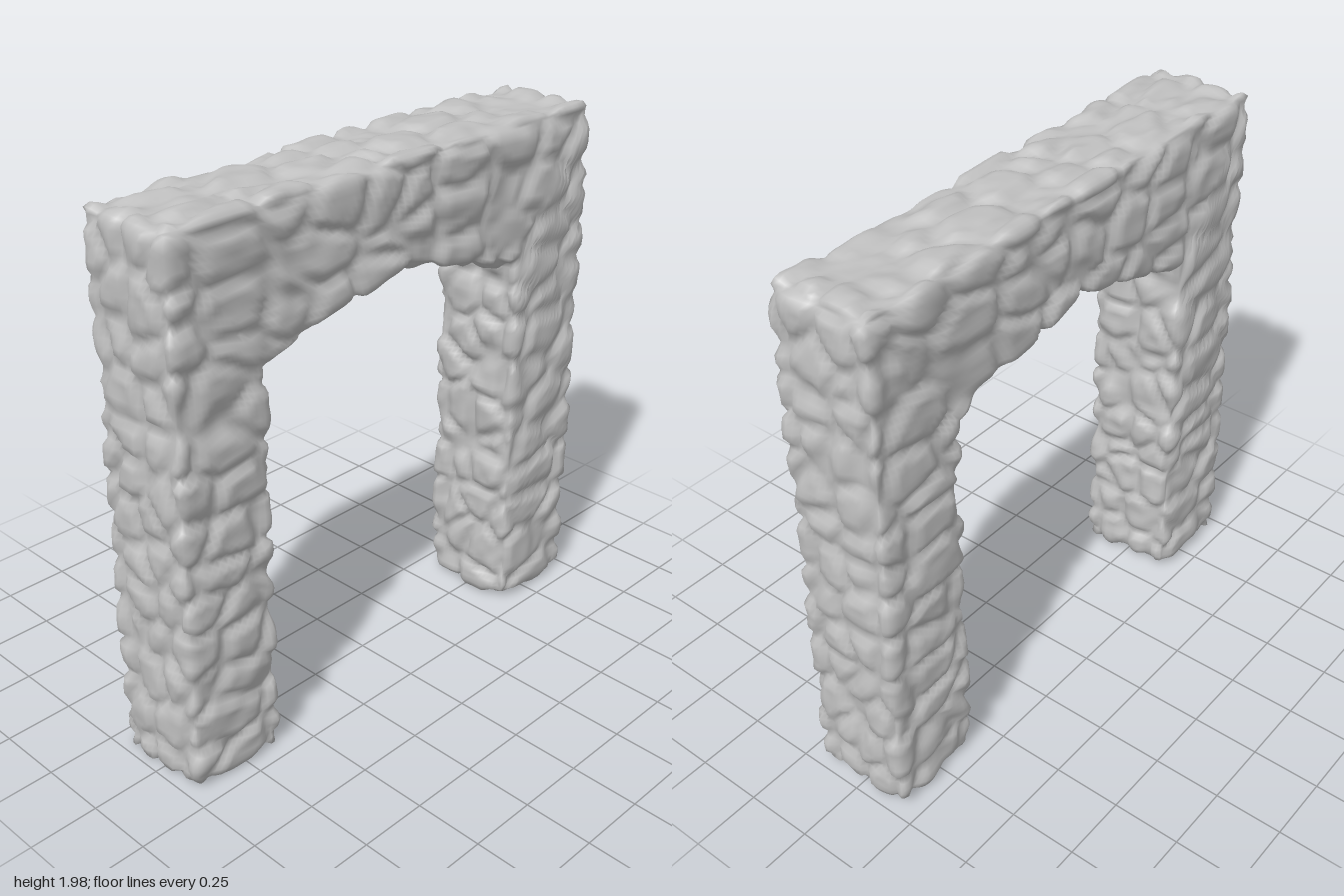
import * as THREE from 'three';

// Repeatable hash and smooth noise
const hash = (x, y, z) => {
  const s = Math.sin(x * 127.1 + y * 311.7 + z * 74.7) * 43758.5453;
  return s - Math.floor(s);
};
const fade = (t) => t * t * (3 - 2 * t);

function noise(x, y, z) {
  const i = Math.floor(x), j = Math.floor(y), k = Math.floor(z);
  const u = fade(x - i), v = fade(y - j), w = fade(z - k);
  let sum = 0;
  for (let n = 0; n < 8; n++) {
    const a = n & 1, b = (n >> 1) & 1, c = n >> 2;
    sum += (a ? u : 1 - u) * (b ? v : 1 - v) * (c ? w : 1 - w) * hash(i + a, j + b, k + c);
  }
  return sum * 2 - 1;
}

// 0 in the joints between stones, 1 on the stones
function stones(x, y, z) {
  const i = Math.floor(x), j = Math.floor(y), k = Math.floor(z);
  let near = 9, second = 9;
  for (let a = i - 1; a <= i + 1; a++) for (let b = j - 1; b <= j + 1; b++) for (let c = k - 1; c <= k + 1; c++) {
    const d = Math.hypot(
      a + 0.15 + 0.7 * hash(a, b, c) - x,
      b + 0.15 + 0.7 * hash(b + 9, c, a) - y,
      c + 0.15 + 0.7 * hash(c, a + 5, b) - z);
    if (d < near) { second = near; near = d; } else if (d < second) second = d;
  }
  return fade(Math.min(1, (second - near) / 0.35));
}

// How far the rock surface swells out at a point
function relief(x, y, z) {
  const wx = x + 0.03 * noise(x * 7, y * 7, z * 7 + 20);
  const wy = y + 0.03 * noise(x * 7 + 40, y * 7, z * 7);
  return 0.024 * (stones(wx / 0.22, wy / 0.15, z / 0.14) - 0.6)
    + 0.008 * noise(x * 5, y * 9, z * 8)
    + 0.006 * noise(x * 15, y * 24, z * 24);
}

// Pairs of outer and inner outline points along the arch, with a size for the closed feet
function archStations() {
  const foot = [[0.97, 0.03], [0.6, 0.03]];
  const corner = [[0.97, 1.97], [0.6, 1.44]];
  const middle = [[0, 1.97], [0, 1.6]];
  const mirror = (pair) => pair.map(([x, y]) => [-x, y]);
  const keys = [foot, corner, middle, mirror(corner), mirror(foot)];
  const steps = [80, 42, 42, 80];
  const list = [];
  const mix = (p, q, t) => [p[0] + (q[0] - p[0]) * t, p[1] + (q[1] - p[1]) * t];
  const caps = [0, 0.15, 0.3, 0.45, 0.6, 0.75, 0.88].map((size) => ({ size }));
  for (const c of caps) list.push({ outer: foot[0], inner: foot[1], size: c.size });
  steps.forEach((count, s) => {
    for (let i = s ? 1 : 0; i <= count; i++) {
      const t = i / count;
      const end = (s === 0 && i === 0) || (s === 3 && i === count);
      list.push({
        outer: mix(keys[s][0], keys[s + 1][0], t),
        inner: mix(keys[s][1], keys[s + 1][1], t),
        size: end ? 0.96 : 1
      });
    }
  });
  for (const c of caps.reverse()) list.push({ outer: keys[4][0], inner: keys[4][1], size: c.size });
  return list;
}

// Rounded square section, running from outer side towards +z
function section(perSide, round) {
  const pts = [];
  for (let side = 0; side < 4; side++) for (let i = 0; i < perSide; i++) {
    const t = -1 + (2 * i) / perSide;
    const [u, v] = [[1, t], [-t, 1], [-1, -t], [t, -1]][side];
    const lim = 1 - round;
    const cu = THREE.MathUtils.clamp(u, -lim, lim), cv = THREE.MathUtils.clamp(v, -lim, lim);
    const len = Math.hypot(u - cu, v - cv);
    pts.push([cu + ((u - cu) / len) * round, cv + ((v - cv) / len) * round]);
  }
  return pts;
}

function archGeometry() {
  const ring = section(22, 0.18), stations = archStations(), n = ring.length;
  const pos = [], index = [];
  for (const { outer, inner, size } of stations) for (const [u, v] of ring) {
    const t = (u * size + 1) / 2;
    let x = inner[0] + (outer[0] - inner[0]) * t;
    let y = inner[1] + (outer[1] - inner[1]) * t;
    // soften the two top corners
    const r = 0.05, dx = Math.abs(x) - (0.97 - r), dy = y - (1.97 - r);
    if (dx > 0 && dy > 0 && Math.hypot(dx, dy) > r) {
      const k = r / Math.hypot(dx, dy);
      x = Math.sign(x) * (0.97 - r + dx * k);
      y = 1.97 - r + dy * k;
    }
    pos.push(x, y, v * size * 0.19);
  }
  for (let s = 0; s < stations.length - 1; s++) for (let j = 0; j < n; j++) {
    const a = s * n + j, b = s * n + ((j + 1) % n), c = a + n, d = b + n;
    index.push(a, c, b, b, c, d);
  }
  const geo = new THREE.BufferGeometry();
  geo.setAttribute('position', new THREE.Float32BufferAttribute(pos, 3));
  geo.setIndex(index);
  geo.computeVertexNormals();

  // push the smooth arch out into rough stone
  const p = geo.attributes.position, m = geo.attributes.normal;
  for (let i = 0; i < p.count; i++) {
    const x = p.getX(i), y = p.getY(i), z = p.getZ(i);
    const h = relief(x, y, z);
    p.setXYZ(i, x + m.getX(i) * h, Math.max(0, y + m.getY(i) * h), z + m.getZ(i) * h);
  }
  geo.computeVertexNormals();
  return geo;
}

export function createModel() {
  const group = new THREE.Group();
  group.name = 'stoneArch';
  const stone = new THREE.MeshStandardMaterial({ color: 0xc0c0c0 });
  stone.name = 'greyStone';
  const arch = new THREE.Mesh(archGeometry(), stone);
  arch.name = 'archPillarsAndLintel';
  group.add(arch);
  return group;
}
